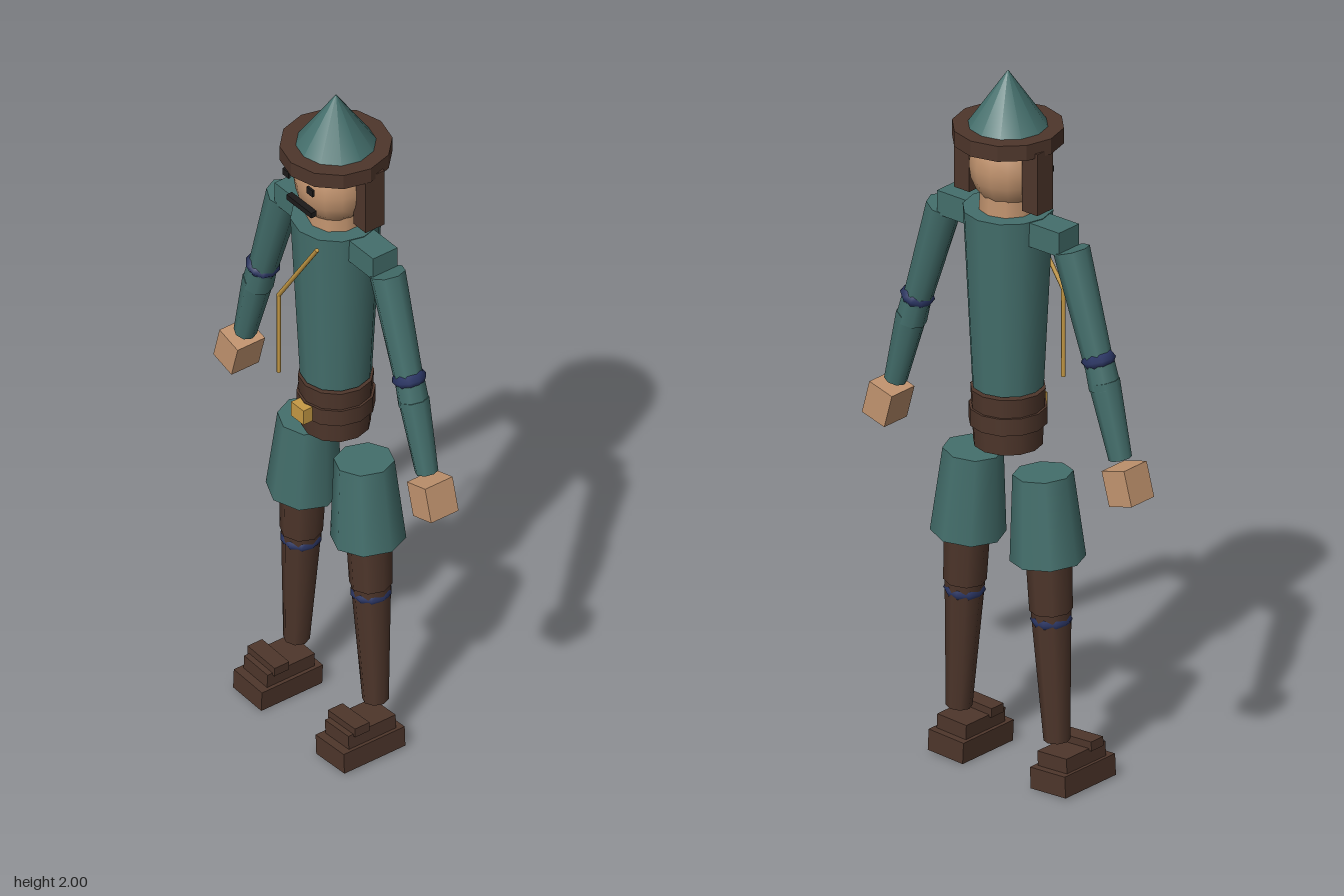
import * as THREE from 'three';

const mat = (color) => new THREE.MeshStandardMaterial({ color });
const teal = mat(0x446f6c), brown = mat(0x4e362b), skin = mat(0xc2946f);
const navy = mat(0x2a3563), gold = mat(0xc69a45), dark = mat(0x1c1a1a);
const UP = new THREE.Vector3(0, 1, 0);

export function createModel() {
  const model = new THREE.Group();
  model.name = 'archerFigure';

  const add = (name, geometry, material, x = 0, y = 0, z = 0, parent = model) => {
    const mesh = new THREE.Mesh(geometry, material);
    mesh.name = name;
    mesh.position.set(x, y, z);
    parent.add(mesh);
    return mesh;
  };
  const box = (name, w, h, d, material, x, y, z, parent) =>
    add(name, new THREE.BoxGeometry(w, h, d), material, x, y, z, parent);

  // Tapered cylinder running from a lower point to an upper point
  const limb = (name, low, high, rLow, rHigh, material, sides = 8) => {
    const a = new THREE.Vector3(...low), b = new THREE.Vector3(...high);
    const dir = b.clone().sub(a);
    const mid = a.clone().add(b).multiplyScalar(0.5);
    const mesh = add(name, new THREE.CylinderGeometry(rHigh, rLow, dir.length(), sides),
      material, mid.x, mid.y, mid.z);
    mesh.quaternion.setFromUnitVectors(UP, dir.normalize());
    return mesh;
  };
  // Padded ring around a limb, leaning with it
  const band = (name, x, y, radius, tube, lean) => {
    const geo = new THREE.TorusGeometry(radius, tube, 6, 10).rotateX(Math.PI / 2);
    add(name, geo, navy, x, y, 0).rotation.z = lean;
  };

  // Torso, hips and belt
  limb('torso', [0, 1.107, 0], [0, 1.61, 0], 0.095, 0.12, teal, 12);
  limb('hips', [0, 0.94, 0], [0, 1.1, 0], 0.092, 0.1, brown, 12);
  limb('belt', [0, 1.0, 0], [0, 1.048, 0], 0.104, 0.104, brown, 12);
  box('beltBuckle', 0.052, 0.045, 0.03, gold, 0, 1.023, 0.112);

  // Chest strap: a diagonal and a hanging length
  limb('chestStrap', [-0.083, 1.357, 0.124], [0.08, 1.598, 0.124], 0.006, 0.006, gold, 6);
  limb('hangingStrap', [-0.083, 1.108, 0.124], [-0.083, 1.36, 0.124], 0.006, 0.006, gold, 6);

  // Head and face
  limb('neck', [0, 1.59, 0], [0, 1.67, 0], 0.079, 0.075, skin, 10);
  add('head', new THREE.SphereGeometry(0.107, 14, 10), skin, 0, 1.737, 0.005).scale.y = 1.17;
  box('mouth', 0.105, 0.016, 0.018, dark, 0, 1.692, 0.113);

  // Pointed hat with an open ring brim
  add('hatCone', new THREE.ConeGeometry(0.127, 0.185, 12), teal, 0, 1.9075, 0);
  const rim = [[0.108, 1.802], [0.148, 1.802], [0.148, 1.846], [0.1, 1.846], [0.108, 1.802]];
  const brim = new THREE.LatheGeometry(rim.map(([r, y]) => new THREE.Vector2(r, y)), 12);
  const brimMat = brown.clone();
  brimMat.flatShading = true;
  add('hatBrim', brim, brimMat);

  for (const s of [1, -1]) {
    const side = s > 0 ? 'left' : 'right';

    box(side + 'Eye', 0.026, 0.02, 0.007, dark, s * 0.051, 1.771, 0.123);
    box(side + 'Hair', 0.052, 0.175, 0.062, brown, s * 0.117, 1.728, -0.018);

    // Arm
    box(side + 'Shoulder', 0.125, 0.068, 0.08, teal, s * 0.147, 1.574, 0);
    limb(side + 'UpperArm', [s * 0.313, 1.25, 0], [s * 0.218, 1.552, 0], 0.039, 0.049, teal);
    band(side + 'ElbowPad', s * 0.311, 1.266, 0.026, 0.021, s * 0.29);
    limb(side + 'ElbowSleeve', [s * 0.333, 1.19, 0], [s * 0.315, 1.255, 0], 0.042, 0.04, teal);
    limb(side + 'Forearm', [s * 0.386, 1.005, 0], [s * 0.33, 1.21, 0], 0.031, 0.042, teal);
    box(side + 'Hand', 0.08, 0.098, 0.09, skin, s * 0.412, 0.94, 0).rotation.z = s * 0.27;

    // Leg
    limb(side + 'Thigh', [s * 0.137, 0.648, 0], [s * 0.12, 0.887, 0], 0.1, 0.08, teal);
    limb(side + 'KneeSleeve', [s * 0.148, 0.505, 0], [s * 0.14, 0.66, 0], 0.057, 0.061, brown);
    band(side + 'KneePad', s * 0.149, 0.479, 0.033, 0.023, s * 0.05);
    limb(side + 'Shin', [s * 0.168, 0.14, 0], [s * 0.147, 0.52, 0], 0.035, 0.054, brown);

    // Shoe: sole, upper and instep strap
    const shoe = new THREE.Group();
    shoe.name = side + 'Shoe';
    shoe.position.set(s * 0.177, 0.004, 0);
    shoe.rotation.z = s * 0.05;
    model.add(shoe);
    box('sole', 0.12, 0.06, 0.2, brown, 0, 0.03, 0.055, shoe);
    box('shoeUpper', 0.1, 0.042, 0.155, brown, 0, 0.08, 0.053, shoe);
    box('shoeStrap', 0.115, 0.026, 0.048, brown, 0, 0.108, 0.09, shoe);
  }

  model.position.z = -0.004;
  return model;
}
